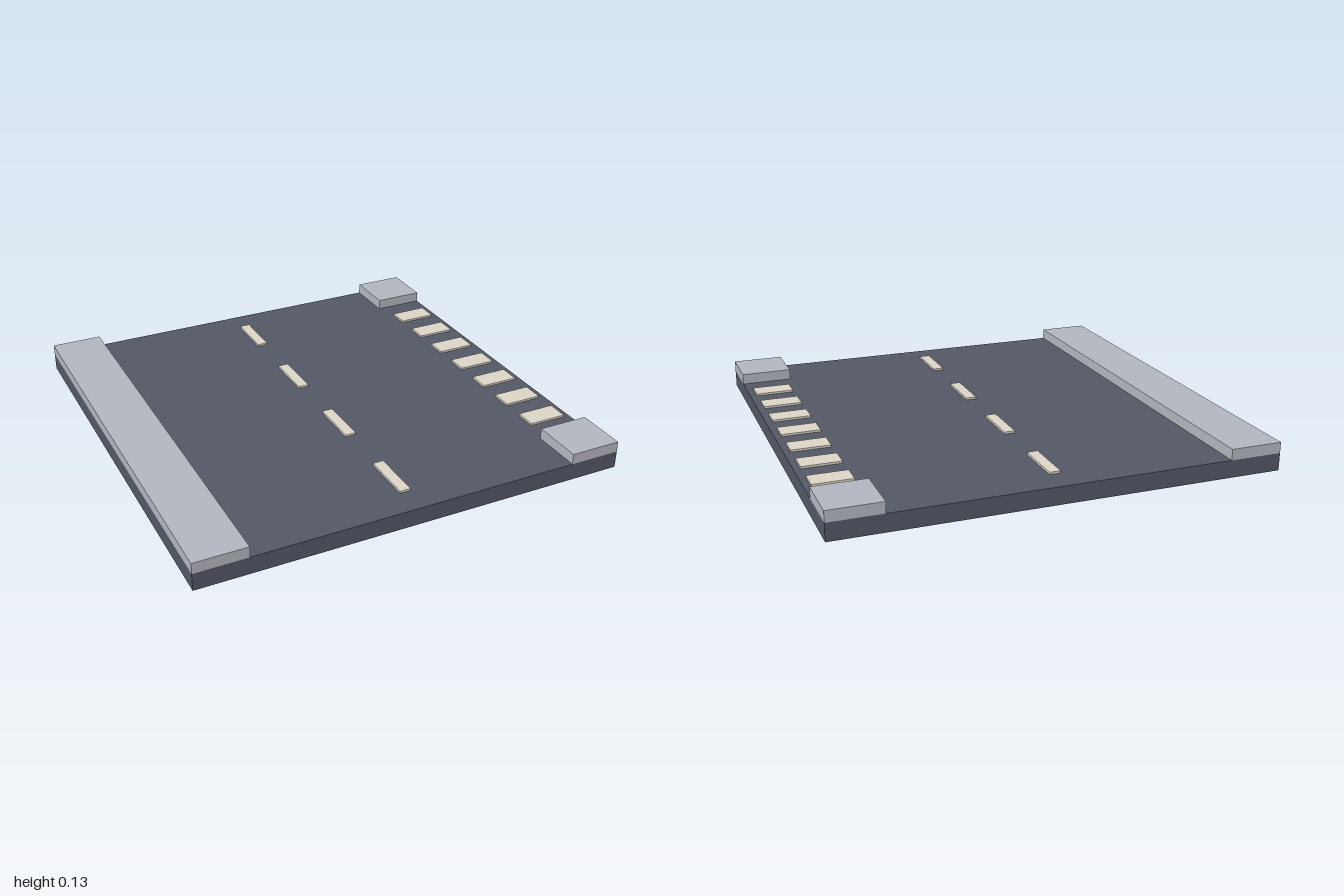
import * as THREE from 'three';

const asphalt = new THREE.MeshStandardMaterial({ color: 0x535865 });
const concrete = new THREE.MeshStandardMaterial({ color: 0xb3b6bf });
const paint = new THREE.MeshStandardMaterial({ color: 0xdcd6c8 });

const ROAD_TOP = 0.08;

export function createModel() {
  const model = new THREE.Group();

  // Box centred on (x, z) with its underside at y
  function slab(name, material, [w, h, d], x, y, z) {
    const mesh = new THREE.Mesh(new THREE.BoxGeometry(w, h, d), material);
    mesh.name = name;
    mesh.position.set(x, y + h / 2, z);
    model.add(mesh);
  }

  // Road bed
  slab('roadBed', asphalt, [2, ROAD_TOP, 2], 0, 0, 0);

  // Full-length pavement on one side, corner pavements on the other
  slab('pavement', concrete, [0.24, 0.05, 2], -0.88, ROAD_TOP, 0);
  for (const side of [-1, 1]) {
    slab('cornerPavement', concrete, [0.24, 0.05, 0.24], 0.88, ROAD_TOP, side * 0.88);
  }

  // Dashed centre line
  for (let i = 0; i < 4; i++) {
    slab('centreDash', paint, [0.05, 0.01, 0.24], 0, ROAD_TOP, -0.75 + i * 0.5);
  }

  // Zebra crossing between the corner pavements
  for (let i = -3; i <= 3; i++) {
    slab('crossingStripe', paint, [0.18, 0.01, 0.1], 0.88, ROAD_TOP, i * 0.2);
  }

  return model;
}
